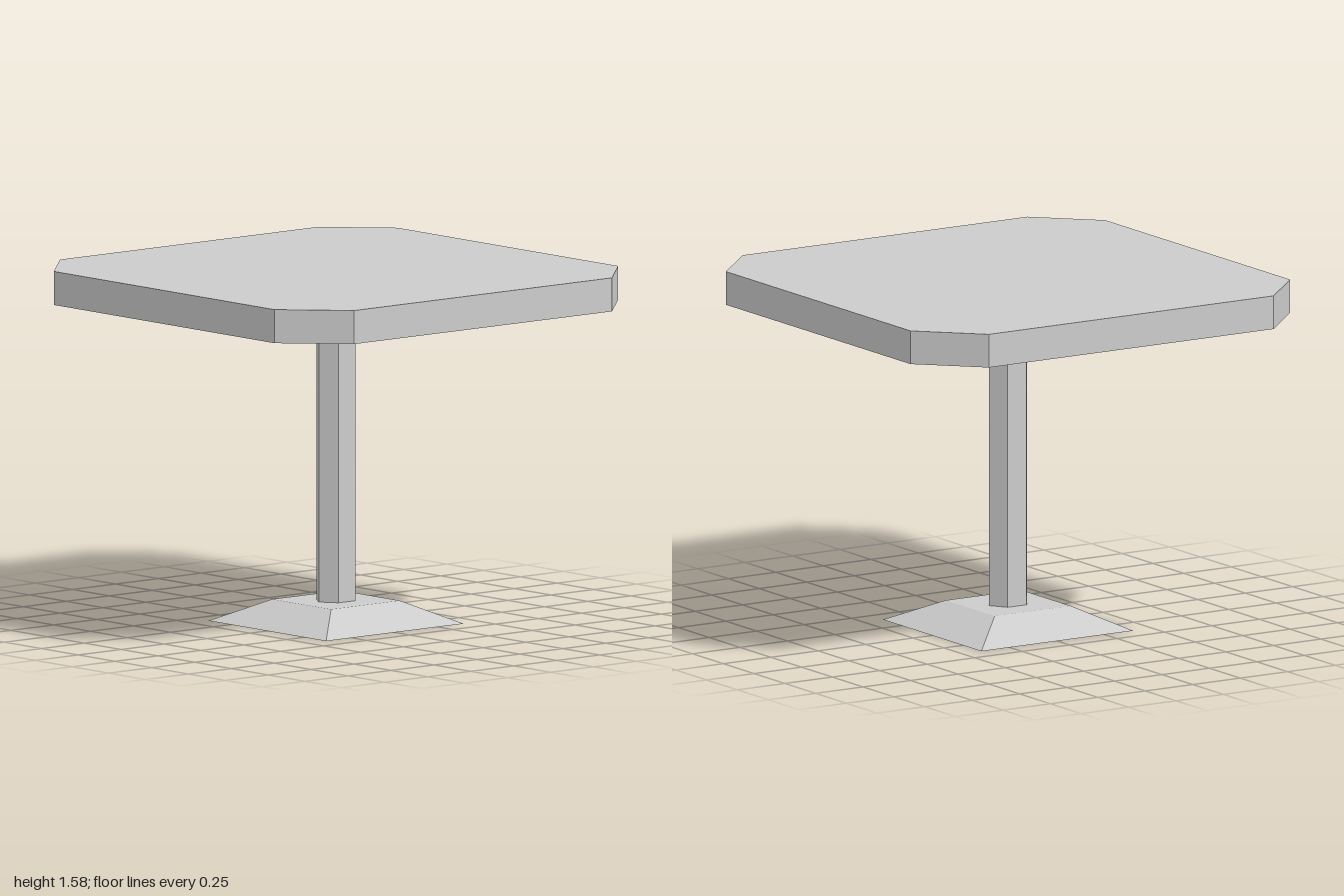
import * as THREE from 'three';

export function createModel() {
  const group = new THREE.Group();
  const material = new THREE.MeshStandardMaterial({ color: 0xcccccc, flatShading: true });

  function add(name, geometry, y) {
    const mesh = new THREE.Mesh(geometry, material);
    mesh.name = name;
    mesh.position.y = y;
    group.add(mesh);
  }

  // Square foot with sloping sides
  const foot = new THREE.CylinderGeometry(0.2 * Math.SQRT2, 0.4 * Math.SQRT2, 0.1, 4);
  foot.rotateY(Math.PI / 4);
  add('foot', foot, 0.05);

  // Six-sided post, slightly flattened front to back
  const post = new THREE.CylinderGeometry(0.1, 0.1, 1.33, 6);
  post.rotateY(Math.PI / 2);
  post.scale(1, 1, 0.866);
  add('post', post, 0.765);

  // Square top with cut corners
  const a = 1, b = 0.75;
  const outline = new THREE.Shape(
    [[a, -b], [a, b], [b, a], [-b, a], [-a, b], [-a, -b], [-b, -a], [b, -a]]
      .map(([x, y]) => new THREE.Vector2(x, y)));
  const top = new THREE.ExtrudeGeometry(outline, { depth: 0.15, bevelEnabled: false });
  top.rotateX(-Math.PI / 2);
  add('tableTop', top, 1.43);

  return group;
}
